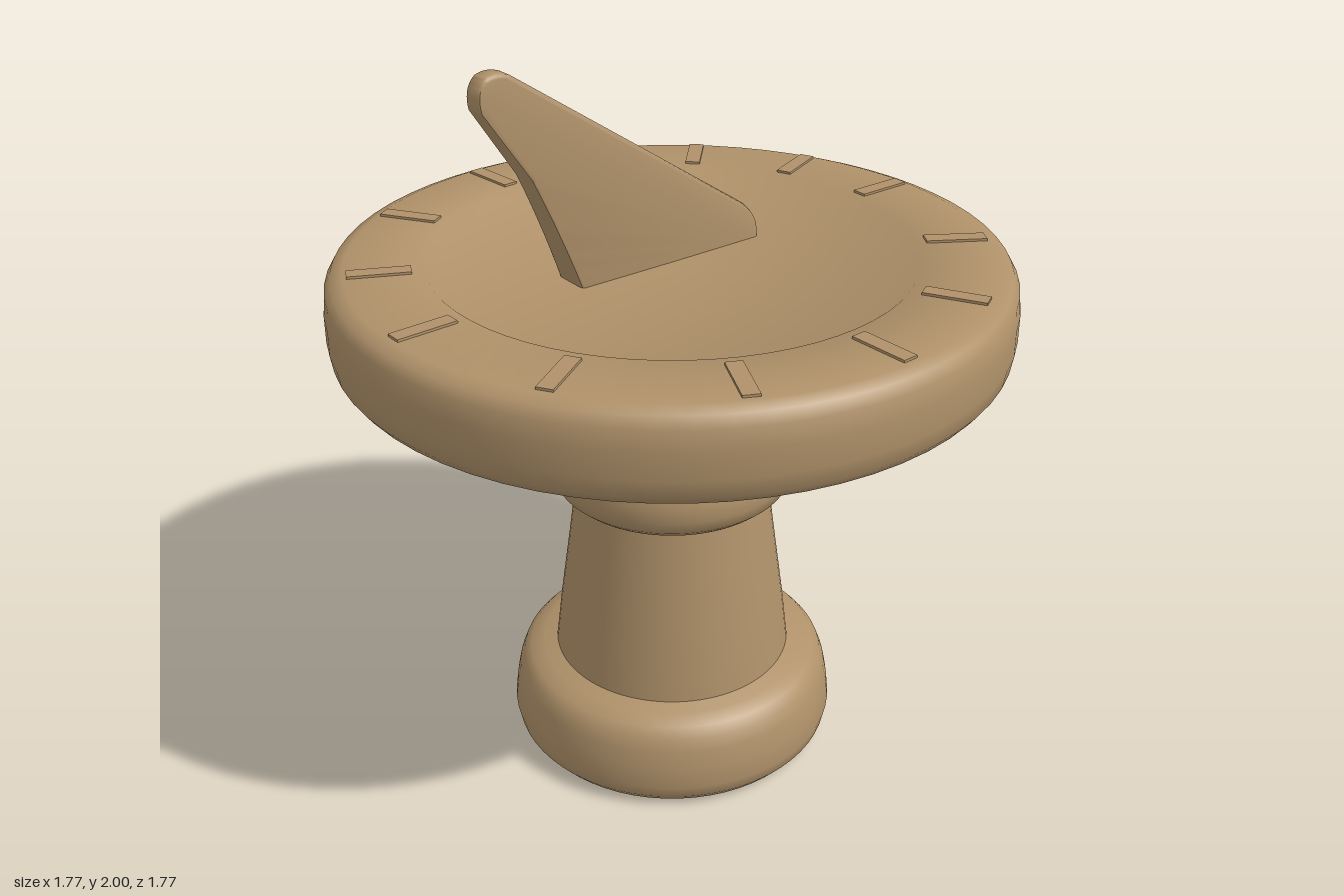
import * as THREE from 'three';
import { toCreasedNormals } from 'three/addons/utils/BufferGeometryUtils.js';

const stone = new THREE.MeshStandardMaterial({ color: 0xb0926a });
stone.name = 'sandstone';

export function createModel() {
  const model = new THREE.Group();
  model.name = 'sundial';

  const add = (name, geometry, parent = model) => {
    const mesh = new THREE.Mesh(geometry, stone);
    mesh.name = name;
    parent.add(mesh);
    return mesh;
  };
  // Turned stone part: profile of [radius, height] from bottom to top
  const turned = (name, profile, crease = 0.6) => {
    const points = profile.map(([r, y]) => new THREE.Vector2(r, y));
    return add(name, toCreasedNormals(new THREE.LatheGeometry(points, 64), crease));
  };

  // Pedestal
  turned('base', [[0.001, 0], [0.4, 0], [0.435, 0.01], [0.455, 0.035], [0.462, 0.07],
    [0.455, 0.13], [0.445, 0.18], [0.432, 0.215], [0.41, 0.24], [0.37, 0.255], [0.32, 0.27]], 0.8);
  turned('column', [[0.336, 0.25], [0.318, 0.4], [0.29, 0.6], [0.263, 0.8]]);
  turned('collar', [[0.24, 0.785], [0.3, 0.785], [0.322, 0.805], [0.332, 0.84], [0.331, 0.88],
    [0.318, 0.93], [0.298, 0.965], [0.265, 0.988], [0.2, 0.998]], 0.8);
  turned('neck', [[0.218, 0.98], [0.228, 1.08], [0.242, 1.18], [0.25, 1.24]]);

  // Dial with rounded rim and shallow sunken centre
  turned('dial', [[0.001, 1.225], [0.83, 1.225], [0.862, 1.233], [0.878, 1.255], [0.885, 1.3],
    [0.884, 1.37], [0.878, 1.42], [0.862, 1.447], [0.83, 1.459],
    [0.63, 1.459], [0.605, 1.438], [0.001, 1.436]], 0.8);

  // Hand-cut hour marks, slightly uneven around the rim
  const marks = new THREE.Group();
  marks.name = 'hourMarks';
  model.add(marks);
  for (const degrees of [86, 60, 37, 13, -10, -42, -71, -98, -126, -157, 172, 144, 114]) {
    const a = THREE.MathUtils.degToRad(degrees);
    const mark = add('hourMark', new THREE.BoxGeometry(0.16, 0.009, 0.042), marks);
    mark.position.set(Math.cos(a) * 0.74, 1.461, -Math.sin(a) * 0.74);
    mark.rotation.y = a;
  }

  // Gnomon: leaning fin, thinner towards the tip
  const outline = new THREE.Shape();
  outline.moveTo(-0.27, 1.42);
  outline.lineTo(0.27, 1.42);
  outline.lineTo(0.268, 1.47);
  outline.quadraticCurveTo(0.26, 1.5, 0.225, 1.53);
  outline.lineTo(-0.45, 1.983);
  outline.quadraticCurveTo(-0.48, 1.995, -0.505, 1.985);
  outline.quadraticCurveTo(-0.53, 1.965, -0.52, 1.92);
  outline.lineTo(-0.4, 1.74);
  outline.quadraticCurveTo(-0.33, 1.59, -0.27, 1.42);
  const fin = new THREE.ExtrudeGeometry(outline, {
    depth: 0.08, bevelEnabled: true, bevelThickness: 0.01, bevelSize: 0.01, bevelSegments: 2,
  });
  fin.translate(0, 0, -0.04);
  const p = fin.attributes.position;
  for (let i = 0; i < p.count; i++) {
    const t = THREE.MathUtils.clamp((p.getY(i) - 1.42) / 0.58, 0, 1);
    p.setZ(i, p.getZ(i) * (1.06 - 0.52 * t));
  }
  const gnomon = add('gnomon', toCreasedNormals(fin, 0.7));
  gnomon.position.z = -0.033;
  gnomon.rotation.y = -0.176;

  return model;
}
